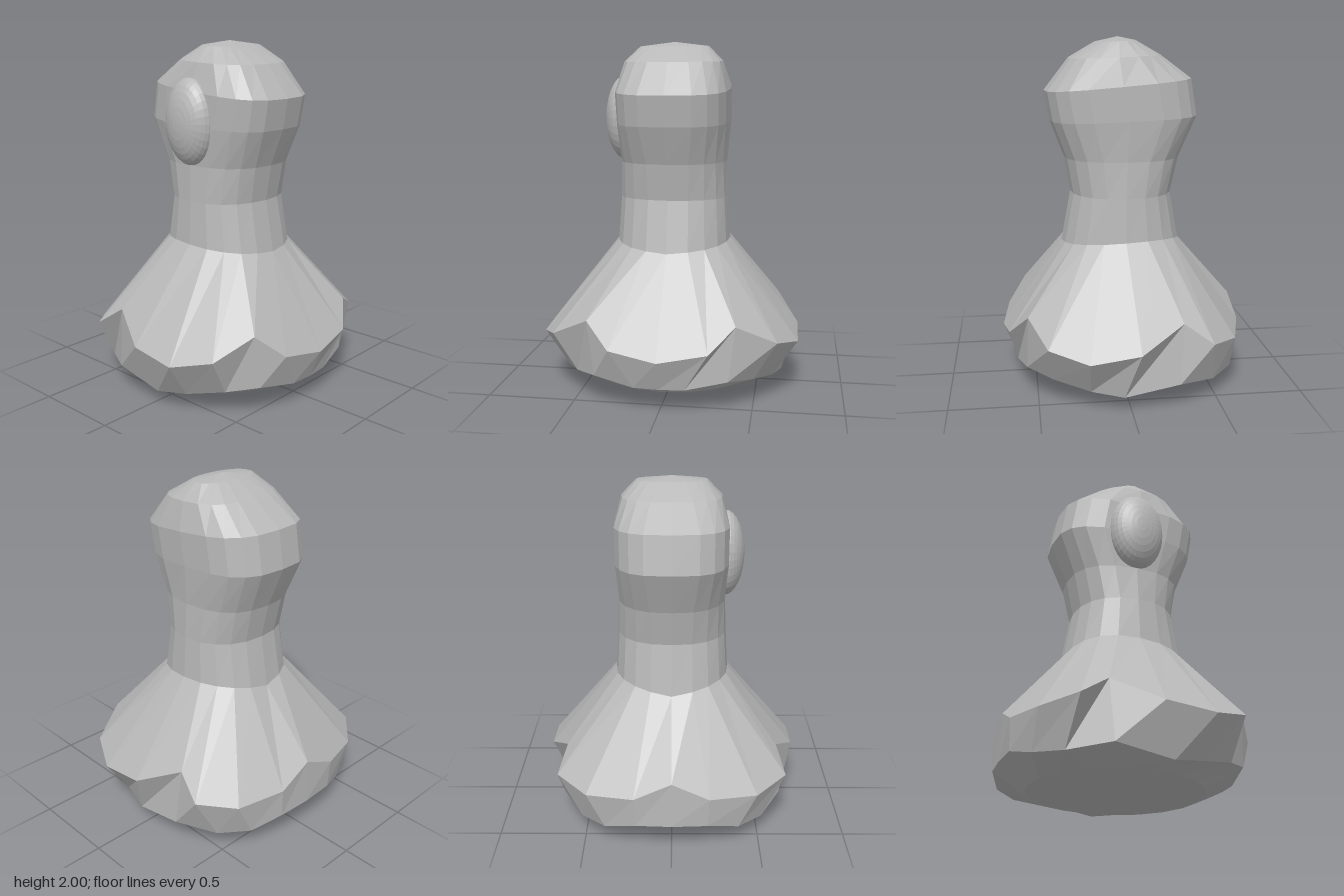
import * as THREE from 'three';

const SIDES = 20;

// Mirror a half ring (from +x round the front to -x) to the back
function mirrorRing(half) {
  const back = half.slice(1, -1).reverse().map(([x, y, z]) => [x, y, -z]);
  return [...half, ...back];
}

// Rounded-square ring between x0 and x1, with its sides at heights y0 and y1
function roundRing(x0, x1, y0, y1, depth, power) {
  const ring = [];
  for (let i = 0; i < SIDES; i++) {
    const t = (i / SIDES) * Math.PI * 2;
    const c = Math.cos(t), s = Math.sin(t);
    const u = Math.sign(c) * Math.abs(c) ** (2 / power);
    const v = Math.sign(s) * Math.abs(s) ** (2 / power);
    const k = (u + 1) / 2;
    ring.push([x0 + (x1 - x0) * k, y0 + (y1 - y0) * k, depth * v]);
  }
  return ring;
}

// Faceted skin over rings listed from bottom to top, with optional end points
function skin(rings, bottom, top) {
  const pos = [];
  const tri = (a, b, c) => pos.push(...a, ...b, ...c);
  for (let i = 0; i < SIDES; i++) {
    const j = (i + 1) % SIDES;
    for (let r = 0; r + 1 < rings.length; r++) {
      const lo = rings[r], hi = rings[r + 1];
      tri(lo[i], hi[i], lo[j]);
      tri(lo[j], hi[i], hi[j]);
    }
    if (bottom) tri(bottom, rings[0][i], rings[0][j]);
    const last = rings[rings.length - 1];
    if (top) tri(top, last[j], last[i]);
  }
  const geo = new THREE.BufferGeometry();
  geo.setAttribute('position', new THREE.Float32BufferAttribute(pos, 3));
  geo.computeVertexNormals();
  return geo;
}

export function createModel() {
  const group = new THREE.Group();
  const grey = new THREE.MeshStandardMaterial({ color: 0xb8b8b8, flatShading: true });
  grey.name = 'plain grey';

  const add = (name, geo) => {
    const mesh = new THREE.Mesh(geo, grey);
    mesh.name = name;
    group.add(mesh);
    return mesh;
  };

  // Jagged rim of the skirt and the lower edge of the base
  const rim = mirrorRing([
    [0.69, 0.305, 0], [0.655, 0.35, 0.27], [0.55, 0.48, 0.41], [0.45, 0.37, 0.63],
    [0.235, 0.32, 0.74], [-0.04, 0.355, 0.735], [-0.29, 0.48, 0.61], [-0.45, 0.37, 0.655],
    [-0.61, 0.335, 0.48], [-0.69, 0.355, 0.21], [-0.685, 0.45, 0],
  ]);
  const lower = mirrorRing([
    [0.62, 0.135, 0], [0.61, 0.135, 0.14], [0.56, 0.175, 0.37], [0.42, 0.15, 0.5],
    [0.22, 0.11, 0.6], [0.04, 0.085, 0.645], [-0.27, 0.145, 0.645], [-0.48, 0.115, 0.52],
    [-0.61, 0.13, 0.38], [-0.68, 0.18, 0.2], [-0.69, 0.18, 0],
  ]);

  // Rounded stone base
  const under = roundRing(-0.53, 0.46, 0.07, 0.06, 0.5, 2);
  const foot = roundRing(-0.3, 0.2, 0.025, 0.02, 0.27, 2);
  add('base', skin([foot, under, lower, rim], [-0.07, 0, 0], null));

  // Sloping skirt up to the wavy collar
  const collar = roundRing(-0.355, 0.335, 0.82, 0.82, 0.33, 2.3);
  collar.forEach((p) => { p[1] += 0.045 * Math.abs(p[2]) / 0.33 - 0.05 * p[0] * Math.abs(p[2]) / 0.33; });
  add('skirt', skin([rim, collar], null, null));

  // Waisted neck
  const waist = roundRing(-0.305, 0.28, 1.115, 1.115, 0.315, 2.3);
  const throat = roundRing(-0.35, 0.315, 1.32, 1.32, 0.307, 2.5);
  add('neck', skin([collar, waist, throat], null, null));

  // Lopsided head
  const head = [
    throat,
    roundRing(-0.45, 0.395, 1.56, 1.53, 0.322, 3),
    roundRing(-0.415, 0.425, 1.77, 1.7, 0.325, 3),
    roundRing(-0.24, 0.285, 1.9, 1.88, 0.282, 2.6),
    roundRing(-0.1, 0.13, 1.98, 1.97, 0.2, 2.3),
  ];
  add('head', skin(head, null, [0, 2, 0]));

  // Single oval eye, with its rings facing forward
  const eyeGeo = new THREE.SphereGeometry(1, 32, 16);
  eyeGeo.rotateX(Math.PI / 2);
  eyeGeo.scale(0.165, 0.245, 0.11);
  add('eye', eyeGeo).position.set(-0.02, 1.565, 0.3);

  return group;
}
